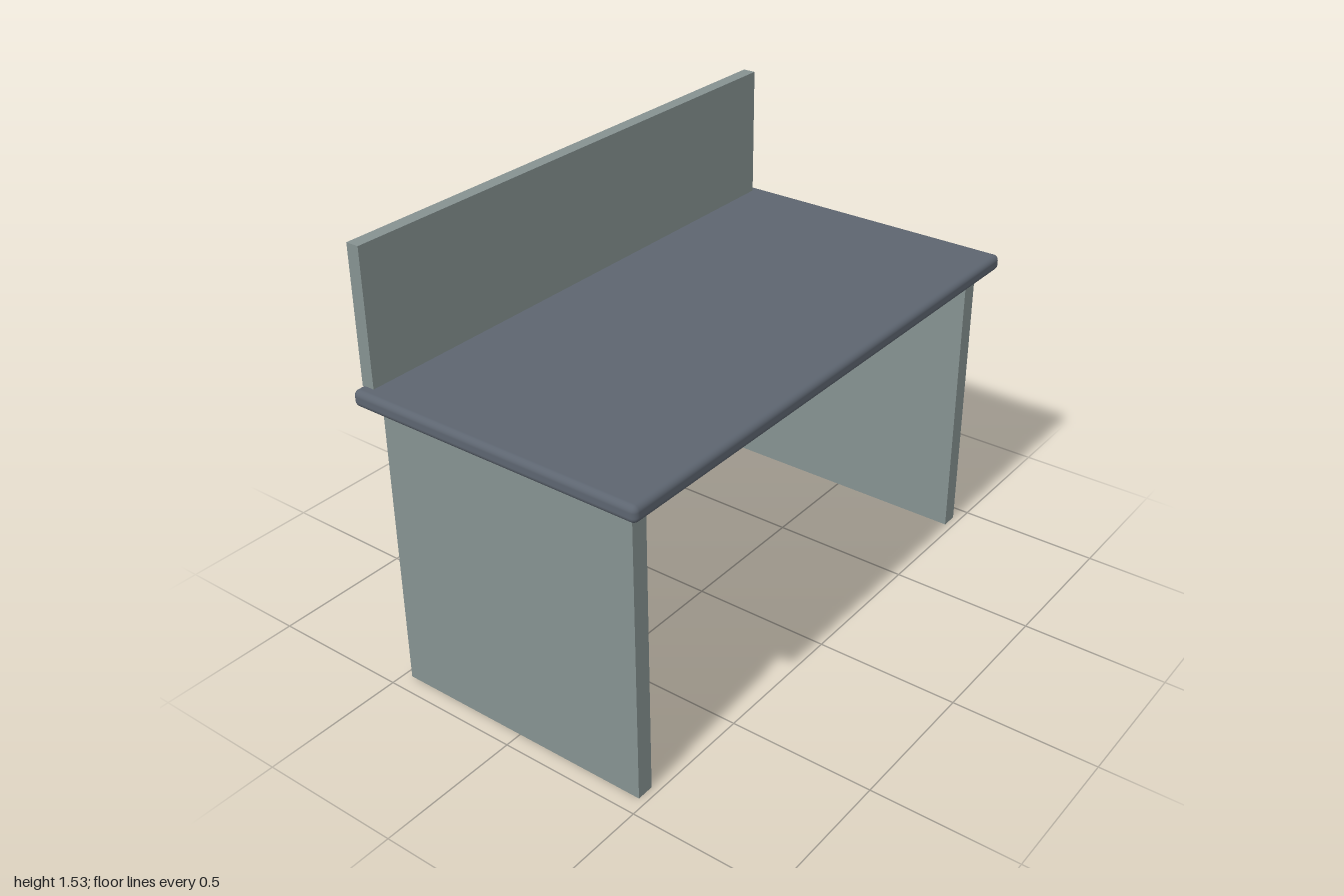
import * as THREE from 'three';
import { RoundedBoxGeometry } from 'three/addons/geometries/RoundedBoxGeometry.js';

export function createModel() {
  const desk = new THREE.Group();
  desk.name = 'desk';

  const panelGrey = new THREE.MeshStandardMaterial({ color: 0x869291 });
  panelGrey.name = 'panelGrey';
  const slateTop = new THREE.MeshStandardMaterial({ color: 0x5d6570 });
  slateTop.name = 'slateTop';

  const add = (name, geometry, material, x, y, z) => {
    const mesh = new THREE.Mesh(geometry, material);
    mesh.name = name;
    mesh.position.set(x, y, z);
    desk.add(mesh);
  };

  // Worktop with softly rounded edges
  add('worktop', new RoundedBoxGeometry(2, 0.056, 1.066, 3, 0.02), slateTop, 0, 1.045, 0);

  // Slab legs at both ends
  for (const [name, side] of [['leftLeg', 1], ['rightLeg', -1]]) {
    add(name, new THREE.BoxGeometry(0.06, 1.02, 0.946), panelGrey, side * 0.91, 0.51, 0);
  }

  // Privacy screen standing along the back edge
  add('backScreen', new THREE.BoxGeometry(1.92, 0.46, 0.046), panelGrey, 0, 1.301, -0.505);

  return desk;
}
